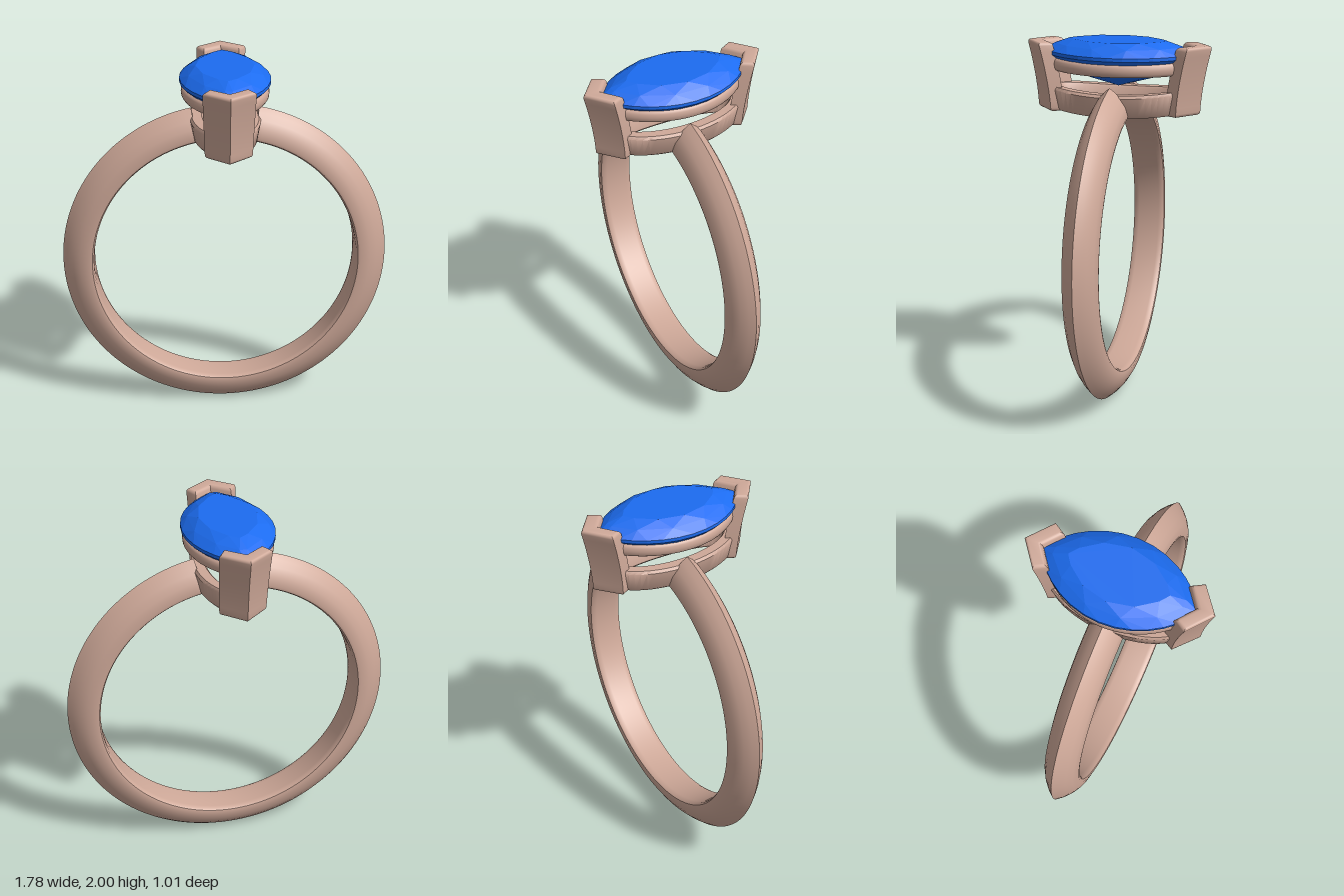
import * as THREE from 'three';
import { toCreasedNormals } from 'three/addons/utils/BufferGeometryUtils.js';
import { ConvexGeometry } from 'three/addons/geometries/ConvexGeometry.js';

const metal = new THREE.MeshStandardMaterial({ color: 0xcfa999 });
const metalTwoSided = new THREE.MeshStandardMaterial({ color: 0xcfa999, side: THREE.DoubleSide });
const gem = new THREE.MeshStandardMaterial({ color: 0x1c6cf0, flatShading: true });

function mesh(name, geometry, material) {
  const m = new THREE.Mesh(geometry, material);
  m.name = name;
  return m;
}

// Pointed outline made of two arcs: half width w, half length l
function marquise(w, l, a) {
  const R = (w * w + l * l) / (2 * w);
  const z = l * Math.sin(a);
  const x = Math.max(0, Math.sqrt(R * R - z * z) - (R - w));
  return [Math.cos(a) < 0 ? -x : x, z];
}
const ellipse = (w, l, a) => [w * Math.cos(a), l * Math.sin(a)];

// Closed rail: a section of [offset, y] swept round an outline
function railGeometry(outline, w, l, section, sag, segments = 64) {
  const pos = [], index = [], n = section.length;
  for (let i = 0; i < segments; i++) {
    for (const [o, y] of section) {
      const [x, z] = outline(w + o, l + o, (i / segments) * Math.PI * 2);
      pos.push(x, y + sag * z * z, z);
    }
    for (let j = 0; j < n; j++) {
      const i2 = (i + 1) % segments, j2 = (j + 1) % n;
      const a = i * n + j, b = i * n + j2, c = i2 * n + j2, d = i2 * n + j;
      index.push(a, b, d, b, c, d);
    }
  }
  const g = new THREE.BufferGeometry();
  g.setAttribute('position', new THREE.Float32BufferAttribute(pos, 3));
  g.setIndex(index);
  return toCreasedNormals(g, 0.75);
}

// Band with a pointed outer ridge, open at the top
function makeBand() {
  const band = new THREE.Group();
  band.name = 'band';
  const half = [[0.892, 0], [0.868, 0.029], [0.835, 0.059], [0.795, 0.083], [0.745, 0.095], [0.73, 0.092], [0.722, 0.08], [0.72, 0.06]];
  const profile = [
    ...half.map(([r, z]) => new THREE.Vector2(r, z)),
    ...half.slice(1).reverse().map(([r, z]) => new THREE.Vector2(r, -z)),
  ];
  const gap = 0.204;
  const body = new THREE.LatheGeometry([...profile, profile[0]], 128, gap - Math.PI, 2 * (Math.PI - gap));
  body.rotateX(Math.PI / 2);
  band.add(mesh('bandBody', toCreasedNormals(body, 0.75), metal));
  for (const s of [-1, 1]) {
    const cap = new THREE.ShapeGeometry(new THREE.Shape(profile));
    cap.rotateX(Math.PI / 2).rotateZ(Math.PI / 2 + s * gap);
    band.add(mesh('bandEnd', cap, metalTwoSided));
  }
  band.position.y = 0.897;
  return band;
}

// V-shaped prong, leaning outward towards the top
function prongGeometry() {
  const b = 0.018, bottom = 1.615, top = 1.985;
  const shape = new THREE.Shape([
    [0, 0.485], [-0.112, 0.397], [-0.092, 0.362], [0, 0.433], [0.092, 0.362], [0.112, 0.397],
  ].map(([x, z]) => new THREE.Vector2(x, z)));
  const g = new THREE.ExtrudeGeometry(shape, {
    depth: top - bottom - 2 * b, steps: 10, bevelSize: b, bevelThickness: b, bevelSegments: 4,
  });
  g.rotateX(Math.PI / 2).translate(0, top - b, 0);
  const p = g.attributes.position;
  for (let i = 0; i < p.count; i++) {
    const t = THREE.MathUtils.clamp((top - p.getY(i)) / (top - bottom), 0, 1);
    p.setX(i, p.getX(i) * (1 - 0.1 * t));
    p.setZ(i, p.getZ(i) - 0.06 * (1 - Math.pow(1 - t, 1.6)));
  }
  return toCreasedNormals(g, 0.6);
}

// Faceted stone: the hull of rings of [scale, y, count, stagger]
function stoneGeometry() {
  const rings = [
    [0.64, 2.0, 12, 0], [0.85, 1.972, 12, 0.5], [1, 1.936, 32, 0],
    [1, 1.918, 32, 0], [0.6, 1.818, 12, 0.5],
  ];
  const points = [new THREE.Vector3(0, 1.752, 0)];
  for (const [s, y, n, stagger] of rings) {
    for (let i = 0; i < n; i++) {
      const [x, z] = marquise(0.24, 0.42, ((i + stagger) / n) * Math.PI * 2);
      points.push(new THREE.Vector3(x * s, y, z * s));
    }
  }
  return new ConvexGeometry(points);
}

export function createModel() {
  const ring = new THREE.Group();
  ring.name = 'ring';
  ring.add(makeBand());

  // Lower rail, flared and slightly curved along its length
  const lower = [[-0.012, 1.605], [0.0, 1.617], [0.018, 1.715], [0.008, 1.73], [-0.045, 1.73], [-0.055, 1.72], [-0.068, 1.617], [-0.058, 1.605]];
  ring.add(mesh('lowerRail', railGeometry(ellipse, 0.17, 0.38, lower, 0.16), metal));

  // Upper rail with rounded section, under the stone
  const upper = [];
  for (let i = 0; i < 16; i++) {
    const a = (i / 16) * Math.PI * 2;
    const round = (v) => Math.sign(v) * Math.pow(Math.abs(v), 0.75);
    upper.push([0.035 * round(Math.cos(a)), 1.866 + 0.036 * round(Math.sin(a))]);
  }
  ring.add(mesh('upperRail', railGeometry(marquise, 0.197, 0.375, upper, 0), metal));

  // Front and back prongs
  const prong = prongGeometry();
  for (const [name, turn] of [['frontProng', 0], ['backProng', Math.PI]]) {
    const m = mesh(name, prong, metal);
    m.rotation.y = turn;
    ring.add(m);
  }

  ring.add(mesh('stone', stoneGeometry(), gem));
  return ring;
}
